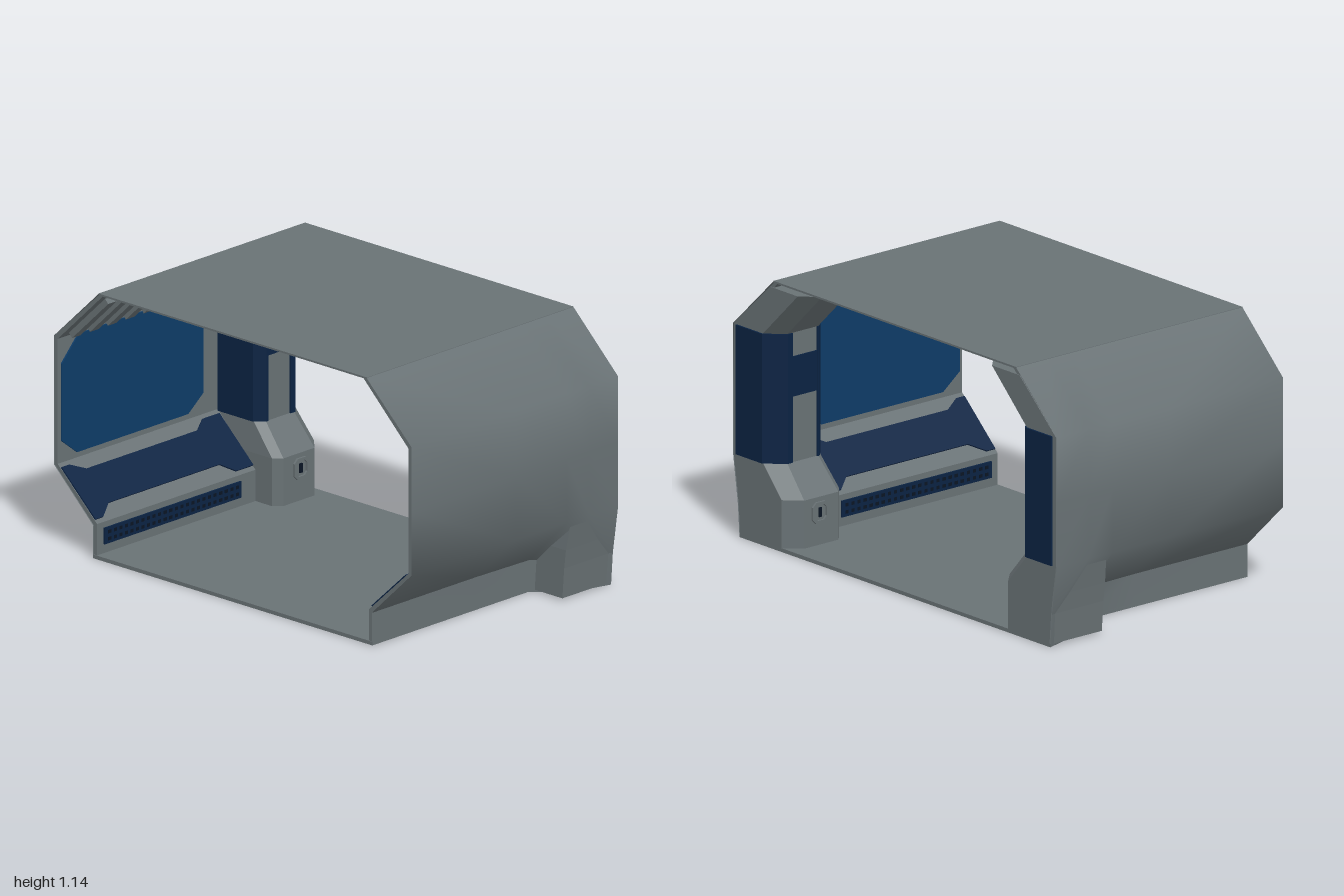
import * as THREE from 'three';

const material = (name, color, side = THREE.FrontSide) => {
  const m = new THREE.MeshStandardMaterial({ color, side });
  m.name = name;
  return m;
};

export function createModel() {
  const root = new THREE.Group();
  root.name = 'corridorSection';
  const grey = material('hull grey', 0x697275, THREE.DoubleSide);
  const navy = material('dark navy', 0x0b2343);
  const blue = material('panel blue', 0x0e3c68);
  const black = material('vent dark', 0x0a1524);
  const lamp = material('lamp pale', 0xb4babb);

  const add = (name, geo, mat) => {
    const mesh = new THREE.Mesh(geo, mat);
    mesh.name = name;
    root.add(mesh);
  };
  // Adds a part on the +z side and its mirror image on the -z side
  const addPair = (name, geo, mat) => {
    add(name + 'Front', geo, mat);
    const g = geo.clone().scale(1, 1, -1);
    const n = g.attributes.position.count;
    const old = g.index ? Array.from(g.index.array) : Array.from({ length: n }, (_, i) => i);
    for (let i = 0; i < old.length; i += 3) [old[i], old[i + 1]] = [old[i + 1], old[i]];
    g.setIndex(old);
    add(name + 'Back', g, mat);
  };
  const shapeOf = (pts) => new THREE.Shape(pts.map(([a, b]) => new THREE.Vector2(a, b)));
  const extrude = (shape, depth) => new THREE.ExtrudeGeometry(shape, { depth, bevelEnabled: false });
  const box = (x0, x1, y0, y1, z0, z1) =>
    new THREE.BoxGeometry(x1 - x0, y1 - y0, z1 - z0).translate((x0 + x1) / 2, (y0 + y1) / 2, (z0 + z1) / 2);
  // Upright prism from a plan outline of [x, z] points
  const prism = (plan, y0, y1) =>
    extrude(shapeOf(plan.map(([x, z]) => [x, -z])), y1 - y0).rotateX(-Math.PI / 2).translate(0, y0, 0);

  // Open smooth skin through rows of [x, y, z] points
  const skin = (rows) => {
    const w = rows[0].length, idx = [];
    for (let i = 0; i < rows.length - 1; i++)
      for (let j = 0; j < w - 1; j++) {
        const a = i * w + j, b = a + 1, c = a + w, d = c + 1;
        idx.push(a, b, c, b, d, c);
      }
    const g = new THREE.BufferGeometry();
    g.setAttribute('position', new THREE.Float32BufferAttribute(rows.flat(2), 3));
    g.setIndex(idx);
    g.computeVertexNormals();
    return g;
  };
  // Closed flat-shaded solid through rings stacked upward
  const loft = (rings) => {
    const w = rings[0].length, idx = [], top = (rings.length - 1) * w;
    for (let i = 0; i < rings.length - 1; i++)
      for (let j = 0; j < w; j++) {
        const a = i * w + j, b = i * w + (j + 1) % w;
        idx.push(a, b, a + w, b, b + w, a + w);
      }
    for (let j = 1; j < w - 1; j++) idx.push(0, j + 1, j, top, top + j, top + j + 1);
    const g = new THREE.BufferGeometry();
    g.setAttribute('position', new THREE.Float32BufferAttribute(rings.flat(2), 3));
    g.setIndex(idx);
    const flat = g.toNonIndexed();
    flat.computeVertexNormals();
    return flat;
  };

  // Outer wall: the lower edge flares outward around the pillar foot
  const stations = [[-0.61, 0.78, 0.78], [0.0, 0.78, 0.78], [0.3, 0.79, 0.78], [0.43, 0.93, 0.91], [0.6, 0.97, 0.96]];
  addPair('outerWall', skin(stations.map(([x, zb]) =>
    [[x, 0.14, zb], [x, 0.35, 1], [x, 0.62, 1], [x, 0.9, 1], [x, 1.138, 0.75]])), grey);
  addPair('wallSkirt', skin(stations.map(([x, zb, zf]) => [[x, 0, zf], [x, 0.14, zb]])), grey);

  // Inner lining with a thin rim at the open end
  const outer = [[0.747, 1.135], [0.997, 0.9], [0.997, 0.35], [0.777, 0.14], [0.777, 0.005]];
  const inner = [[0.76, 0.005], [0.76, 0.15], [0.98, 0.355], [0.98, 0.89], [0.73, 1.13]];
  addPair('innerWall', extrude(shapeOf([...outer, ...inner].map(([z, y]) => [-z, y])), 1.205)
    .rotateY(Math.PI / 2).translate(-0.608, 0, 0), grey);

  // Roof and floor
  add('roof', box(-0.61, 0.6, 1.132, 1.14, -0.75, 0.75), grey);
  const edge = stations.map(([x, , z]) => [x, z]);
  add('floor', prism([...edge, ...edge.slice().reverse().map(([x, z]) => [x, -z])], 0, 0.016), grey);

  // Pillar: foot, shaft and sloping beam
  const ring = (y, zi, zo, b = 0.07, x0 = 0.33) => [
    [0.6, y, zo], [0.6, y, zi + b], [0.6 - b, y, zi], [x0 + b * 0.5, y, zi], [x0, y, zi + b * 0.5], [x0, y, zo]];
  addPair('pillarFoot', loft([
    ring(0.01, 0.635, 0.955, 0.065, 0.32), ring(0.14, 0.635, 0.965, 0.065, 0.32),
    ring(0.22, 0.635, 0.975, 0.065, 0.32), ring(0.35, 0.745, 0.995)]), grey);
  addPair('pillarShaft', loft([ring(0.35, 0.745, 0.995), ring(0.9, 0.745, 0.995)]), grey);
  addPair('pillarBeam', loft([ring(0.9, 0.745, 0.995), ring(1.11, 0.53, 0.77)]), grey);

  // Navy cladding wrapped round both pillar edges, and a band between
  addPair('pillarFrontCladding', prism([[0.59, 0.975], [0.608, 0.975], [0.608, 0.812], [0.532, 0.739],
    [0.505, 0.739], [0.505, 0.75], [0.53, 0.75], [0.59, 0.82]], 0.35, 0.9), navy);
  addPair('pillarRearCladding', prism([[0.335, 0.975], [0.324, 0.975], [0.324, 0.778], [0.363, 0.739],
    [0.375, 0.739], [0.375, 0.75], [0.365, 0.75], [0.335, 0.782]], 0.35, 0.9), navy);
  addPair('pillarBand', box(0.37, 0.51, 0.63, 0.8, 0.74, 0.748), navy);

  // Small framed hatch on each foot
  const chamfered = (x0, x1, y0, y1, c) => [[x0 + c, y0], [x1 - c, y0], [x1, y0 + c], [x1, y1 - c],
    [x1 - c, y1], [x0 + c, y1], [x0, y1 - c], [x0, y0 + c]];
  const frame = shapeOf(chamfered(0.41, 0.495, 0.11, 0.2, 0.018));
  frame.holes.push(shapeOf(chamfered(0.422, 0.483, 0.122, 0.188, 0.014)));
  addPair('hatchFrame', extrude(frame, 0.012).translate(0, 0, 0.626), grey);
  addPair('hatchButton', box(0.444, 0.46, 0.135, 0.175, 0.629, 0.637), black);

  // Large eight-sided wall panel
  addPair('wallPanel', extrude(shapeOf([[-0.5, 0.38], [0.15, 0.38], [0.24, 0.45], [0.24, 0.78],
    [0.13, 0.885], [-0.49, 0.885], [-0.59, 0.78], [-0.59, 0.45]]), 0.009).translate(0, 0, 0.973), blue);

  // Navy band on the lower slope, narrower in the middle
  addPair('slopeBand', extrude(shapeOf([[-0.605, 0.02], [-0.56, 0.02], [-0.49, 0.07], [0.16, 0.07], [0.22, 0.02],
    [0.32, 0.02], [0.32, 0.28], [0.22, 0.28], [0.16, 0.24], [-0.49, 0.24], [-0.56, 0.28], [-0.605, 0.28]]), 0.009)
    .translate(0, 0, -0.006).rotateX(Math.atan2(0.22, 0.205)).translate(0, 0.15, 0.76), navy);

  // Long floor-level vent with two rows of openings
  addPair('vent', box(-0.57, 0.23, 0.055, 0.125, 0.753, 0.762), navy);
  for (let i = 0; i < 24; i++)
    for (const y of [0.075, 0.105]) {
      const x = -0.55 + i * 0.0325;
      addPair('ventOpening', box(x, x + 0.016, y - 0.007, y + 0.007, 0.751, 0.756), black);
    }

  // Ribs along the upper slope
  for (let i = 0; i < 8; i++)
    addPair('ceilingRib', new THREE.BoxGeometry(0.05, 0.28, 0.03)
      .rotateX(-Math.atan2(0.25, 0.24)).translate(-0.54 + i * 0.105, 1.0, 0.85), grey);

  // Ceiling lamps
  addPair('lampHousing', box(-0.45, 0.1, 1.082, 1.112, 0.18, 0.32), grey);
  addPair('lampMount', box(-0.35, 0, 1.11, 1.134, 0.22, 0.28), grey);
  for (const z of [0.215, 0.285])
    addPair('lampStrip', box(-0.43, 0.08, 1.077, 1.084, z - 0.017, z + 0.017), lamp);

  return root;
}
